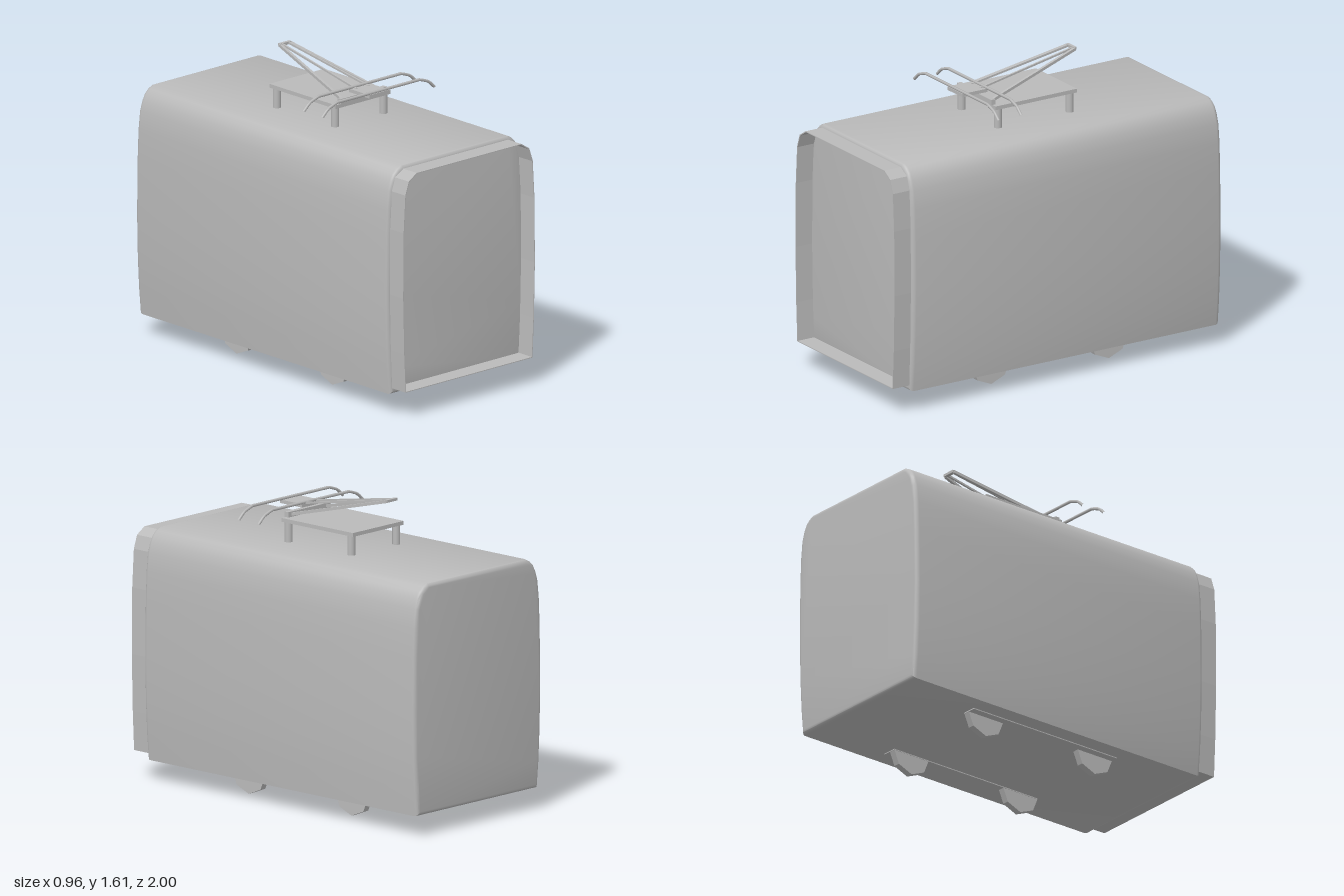
import * as THREE from 'three';
import { toCreasedNormals } from 'three/addons/utils/BufferGeometryUtils.js';

export function createModel() {
  const model = new THREE.Group();
  model.name = 'railCar';
  const grey = new THREE.MeshStandardMaterial({ color: 0xbababa });
  grey.name = 'plainGrey';

  const add = (name, geometry, x = 0, y = 0, z = 0) => {
    const mesh = new THREE.Mesh(geometry, grey);
    mesh.name = name;
    mesh.position.set(x, y, z);
    model.add(mesh);
    return mesh;
  };
  const box = (name, w, h, d, x, y, z) => add(name, new THREE.BoxGeometry(w, h, d), x, y, z);

  // Straight square-section bar between two points
  const bar = (name, a, b, size) => {
    const p = new THREE.Vector3(...a), q = new THREE.Vector3(...b);
    const mesh = box(name, size, size, p.distanceTo(q), 0, 0, 0);
    mesh.position.copy(p).add(q).multiplyScalar(0.5);
    mesh.lookAt(q);
    return mesh;
  };

  // Closed symmetric outline from the points of its +x half
  const mirrored = (half) => [...half, ...half.map(([x, y]) => [-x, y]).reverse()]
    .map(([x, y]) => new THREE.Vector2(x, y));

  // Body shell with softened ends
  const bodyShape = new THREE.Shape(mirrored([
    [0.452, 0.11], [0.465, 0.25], [0.474, 0.42], [0.479, 0.65], [0.475, 0.95], [0.469, 1.1],
    [0.458, 1.2], [0.442, 1.25], [0.424, 1.285], [0.4, 1.308], [0.37, 1.323],
  ]));
  const bevel = 0.022;
  const body = new THREE.ExtrudeGeometry(bodyShape, {
    depth: 1.9 - 2 * bevel, bevelSize: bevel, bevelThickness: bevel,
    bevelOffset: -bevel, bevelSegments: 3,
  });
  add('body', toCreasedNormals(body, 0.6), 0, 0, -1 + bevel);

  // Thin open collar around the recessed front
  const collarHalf = [
    [0.442, 0.142], [0.452, 0.35], [0.459, 0.65], [0.456, 1.0],
    [0.444, 1.2], [0.42, 1.27], [0.365, 1.305],
  ];
  const collarShape = new THREE.Shape(mirrored(collarHalf));
  collarShape.holes.push(new THREE.Path(mirrored(
    collarHalf.map(([x, y]) => [x - 0.004, 0.72 + (y - 0.72) * 0.993]))));
  add('frontCollar', new THREE.ExtrudeGeometry(collarShape, { depth: 0.12, bevelEnabled: false }), 0, 0, 0.88);

  // Octagonal wheels and the rails that carry them
  for (const side of [-1, 1]) {
    box('wheelRail', 0.08, 0.02, 0.95, side * 0.32, 0.115, -0.05);
    for (const z of [0.312, -0.41]) {
      const wheel = new THREE.CylinderGeometry(0.118, 0.118, 0.036, 8);
      wheel.rotateZ(Math.PI / 2);
      add('wheel', toCreasedNormals(wheel, 0.5), side * 0.3, 0.118, z);
    }
  }

  // Roof platform on four posts
  box('roofPlatform', 0.38, 0.02, 0.5, 0, 1.436, -0.05);
  for (const x of [-0.168, 0.168])
    for (const z of [0.172, -0.268])
      add('platformPost', new THREE.CylinderGeometry(0.021, 0.021, 0.12, 12), x, 1.372, z);

  // Current collector: hinge bar, arms and head
  box('hingeBar', 0.32, 0.028, 0.026, 0, 1.46, 0.194);
  for (const s of [-1, 1]) {
    bar('outerArm', [s * 0.13, 1.458, 0.19], [s * 0.034, 1.6, -0.39], 0.015);
    bar('innerArm', [s * 0.04, 1.5, 0.2], [s * 0.022, 1.603, -0.385], 0.01);
  }
  box('armCrossbar', 0.075, 0.014, 0.018, 0, 1.602, -0.39);
  box('headBlock', 0.14, 0.018, 0.155, 0, 1.494, 0.247);

  // Contact strips with drooping horns
  const hornHalf = [[0.39, 1.45], [0.35, 1.487], [0.29, 1.509]];
  const path = new THREE.CurvePath();
  const points = mirrored(hornHalf).map((p) => new THREE.Vector3(p.x, p.y, 0));
  for (let i = 1; i < points.length; i++) path.add(new THREE.LineCurve3(points[i - 1], points[i]));
  for (const z of [0.175, 0.315])
    add('contactStrip', new THREE.TubeGeometry(path, 40, 0.008, 6), 0, 0, z);

  return model;
}
